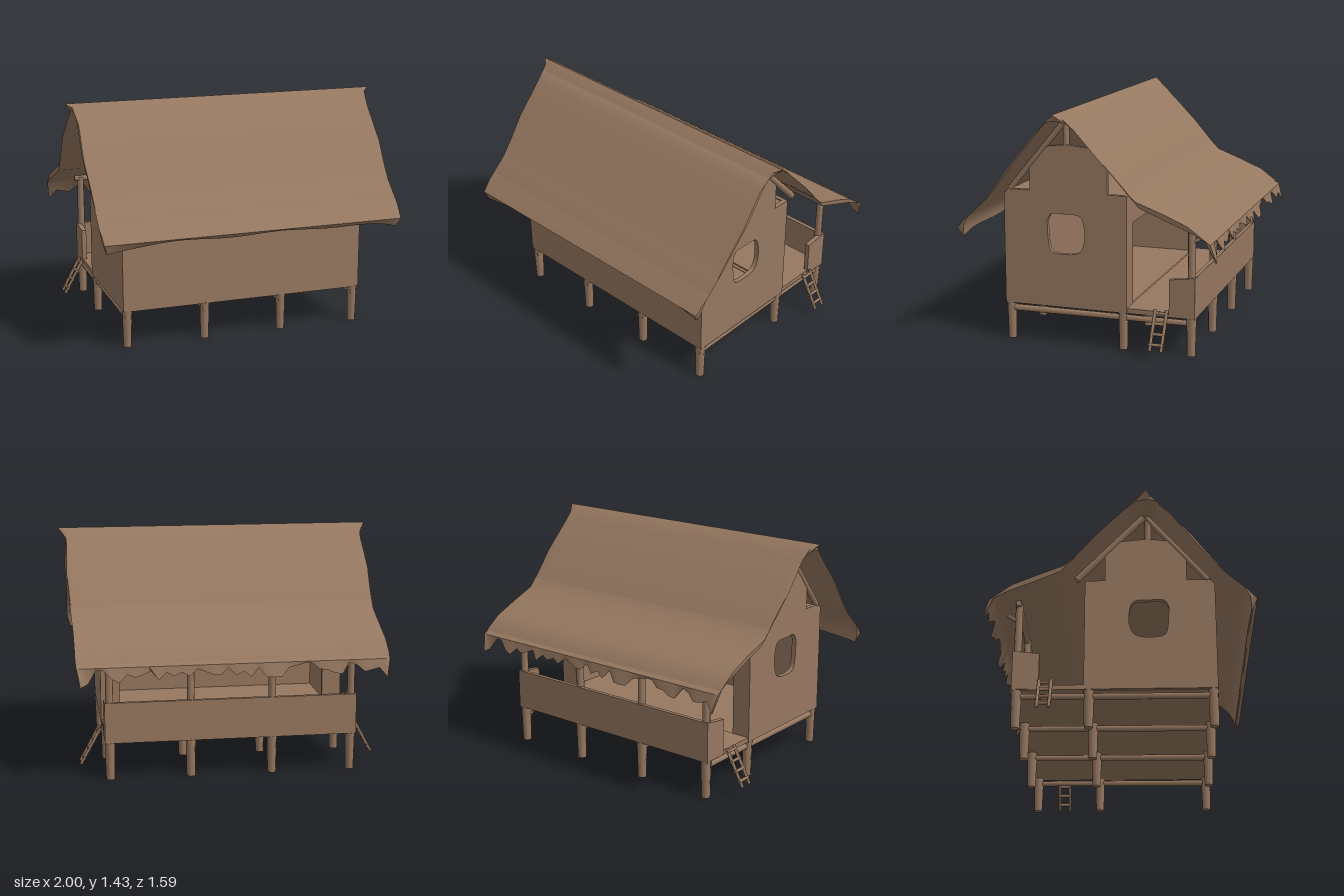
import * as THREE from 'three';
import { toCreasedNormals } from 'three/addons/utils/BufferGeometryUtils.js';

const wood = new THREE.MeshStandardMaterial({ color: 0x967860, side: THREE.DoubleSide });
wood.name = 'weathered brown';

export function createModel() {
  const model = new THREE.Group();
  model.name = 'stiltHut';

  const add = (name, geometry) => {
    const mesh = new THREE.Mesh(geometry, wood);
    mesh.name = name;
    model.add(mesh);
    return mesh;
  };
  const box = (name, w, h, d, x, y, z) => add(name, new THREE.BoxGeometry(w, h, d)).position.set(x, y, z);

  // Round pole between two points
  const pole = (name, from, to, r0, r1 = r0) => {
    const a = new THREE.Vector3(...from), b = new THREE.Vector3(...to);
    const dir = b.clone().sub(a);
    const mesh = add(name, new THREE.CylinderGeometry(r1, r0, dir.length(), 8));
    mesh.position.copy(a).add(b).multiplyScalar(0.5);
    mesh.quaternion.setFromUnitVectors(new THREE.Vector3(0, 1, 0), dir.normalize());
  };

  // Upright panel facing sideways, outlined by [z, y] points
  const toPath = (pts) => pts.map(([z, y]) => new THREE.Vector2(-z, y));
  const sidePanel = (name, x, outline, hole) => {
    const shape = new THREE.Shape(toPath(outline));
    if (hole) {
      const curve = new THREE.SplineCurve(toPath([...hole, hole[0]]));
      shape.holes.push(new THREE.Path(curve.getPoints(32)));
    }
    const g = new THREE.ExtrudeGeometry(shape, { depth: 0.03, bevelEnabled: false });
    g.rotateY(Math.PI / 2);
    add(name, g).position.x = x - 0.015;
  };

  // Gable walls with windows, attic panels, trusses and side ladders
  const windowHole = [[0.30, 0.76], [0.27, 0.805], [0.18, 0.805], [0.10, 0.80], [0.07, 0.75],
    [0.065, 0.65], [0.10, 0.575], [0.19, 0.56], [0.275, 0.575], [0.295, 0.65]];
  for (const s of [1, -1]) {
    sidePanel('gableWall', s * 0.755, [[0.575, 0.23], [-0.2, 0.23], [-0.2, 0.94], [0.55, 0.94], [0.575, 0.91]], windowHole);
    sidePanel('atticPanel', s * 0.755, [[0.41, 0.93], [-0.08, 0.93], [-0.08, 1.13], [0.02, 1.21],
      [0.17, 1.225], [0.31, 1.21], [0.41, 1.1]]);
    pole('kingPost', [s * 0.75, 1.2, 0.18], [s * 0.75, 1.4, 0.18], 0.02);
    pole('gableRafter', [s * 0.76, 1.37, 0.18], [s * 0.76, 0.94, 0.54], 0.018);
    pole('gableRafter', [s * 0.76, 1.38, 0.15], [s * 0.76, 0.95, -0.25], 0.022);
    for (const z of [-0.385, -0.455]) {
      pole('ladderRail', [s * 0.79, 0.28, z], [s * 0.91, 0.06, z], 0.011, 0.009);
    }
    for (let i = 0; i < 4; i++) {
      const x = s * (0.8 + i * 0.03), y = 0.26 - i * 0.055;
      pole('ladderRung', [x, y, -0.375], [x, y, -0.465], 0.01);
    }
    // Short return of the veranda parapet
    sidePanel('parapetEnd', s * 0.755, [[-0.46, 0.235], [-0.615, 0.235], [-0.615, 0.48], [-0.46, 0.46]]);
  }

  // Front wall and back wall with its wide opening
  box('frontWall', 1.54, 0.69, 0.025, 0, 0.575, 0.565);
  const back = new THREE.Shape([[-0.77, 0.23], [0.77, 0.23], [0.77, 0.94], [-0.77, 0.94]].map((p) => new THREE.Vector2(...p)));
  back.holes.push(new THREE.Path([[-0.65, 0.25], [-0.65, 0.76], [0.65, 0.76], [0.65, 0.25]].map((p) => new THREE.Vector2(...p))));
  add('backWall', new THREE.ExtrudeGeometry(back, { depth: 0.025, bevelEnabled: false })).position.z = -0.2;

  // Floors, ceiling and veranda parapet
  box('houseFloor', 1.52, 0.02, 0.78, 0, 0.235, 0.185);
  box('verandaFloor', 1.53, 0.03, 0.42, 0, 0.245, -0.405);
  box('ceiling', 1.5, 0.015, 0.74, 0, 0.925, 0.18);
  box('parapet', 1.54, 0.25, 0.025, 0, 0.355, -0.605);

  // Stilts, floor beams and veranda posts
  for (const x of [-0.74, -0.25, 0.25, 0.74]) {
    for (const z of [0.55, -0.17, -0.59]) pole('stilt', [x, 0, z], [x, 0.23, z], 0.026, 0.031);
    pole('floorBeam', [x, 0.193, 0.575], [x, 0.198, -0.61], 0.021, 0.018);
    pole('verandaPost', [x, 0.23, -0.59], [x, 0.8, -0.59], 0.025, 0.022);
    pole('postBrace', [x, 0.69, -0.6], [x, 0.725, -0.655], 0.012);
  }
  pole('verandaBeam', [-0.78, 0.79, -0.59], [0.78, 0.79, -0.59], 0.018);

  add('roof', roofGeometry());
  return model;
}

// Curved thatch shell lofted along x, with a ragged back eave
function roofGeometry() {
  // Outer profile from front eave to back eave: z, y, half width
  const profile = [[0.777, 0.662, 0.92], [0.77, 0.73, 0.94], [0.735, 0.795, 0.945], [0.61, 0.91, 0.945],
    [0.51, 1.03, 0.95], [0.41, 1.16, 0.96], [0.26, 1.345, 0.95], [0.2, 1.41, 0.96], [0.17, 1.432, 1.0],
    [0.13, 1.41, 0.96], [0.06, 1.345, 0.95], [-0.1, 1.175, 0.96], [-0.22, 1.04, 0.95], [-0.31, 0.95, 0.945],
    [-0.48, 0.885, 0.94], [-0.62, 0.825, 0.94], [-0.715, 0.755, 0.94], [-0.775, 0.625, 0.92]];
  const n = profile.length, steps = 40;
  const inner = profile.map(([z, y, w], i) => {
    const a = profile[Math.max(i - 1, 0)], b = profile[Math.min(i + 1, n - 1)];
    const dz = b[0] - a[0], dy = b[1] - a[1], len = Math.hypot(dz, dy);
    const t = i === 0 || i === n - 1 ? 0.008 : 0.043;
    return [z + dy / len * t, y + dz / len * t, i === 8 ? 0.96 : w - 0.005];
  });
  const loop = [...profile, ...inner.reverse()];
  const m = loop.length;
  const rough = (s) => { const v = Math.sin(s * 91.7 + 3.1) * 437.5; return v - Math.floor(v); };

  const pos = [], index = [];
  for (let s = 0; s <= steps; s++) {
    const t = s / steps * 2 - 1;
    loop.forEach(([z, y, w], k) => {
      const edge = k === n - 1 || k === n;
      const ends = s === 0 || s === steps;
      const lift = edge && !ends ? 0.015 + rough(s) * 0.08 : 0;
      const sag = k === 0 || k === m - 1 ? 0.035 * (1 - t ** 6) + 0.006 * Math.sin(t * 9) : 0;
      pos.push(t * w, y + lift + sag, z + lift * 0.4);
    });
  }
  for (let s = 0; s < steps; s++) {
    for (let k = 0; k < m; k++) {
      const a = s * m + k, d = s * m + (k + 1) % m;
      index.push(a, a + m, d + m, a, d + m, d);
    }
  }
  // Close both gable ends
  for (let i = 0; i < n - 1; i++) {
    const e = steps * m, o = m - 1 - i;
    index.push(e + i, e + o, e + o - 1, e + i, e + o - 1, e + i + 1);
    index.push(i, o - 1, o, i, i + 1, o - 1);
  }
  const g = new THREE.BufferGeometry();
  g.setAttribute('position', new THREE.Float32BufferAttribute(pos, 3));
  g.setIndex(index);
  return toCreasedNormals(g, 0.7);
}
